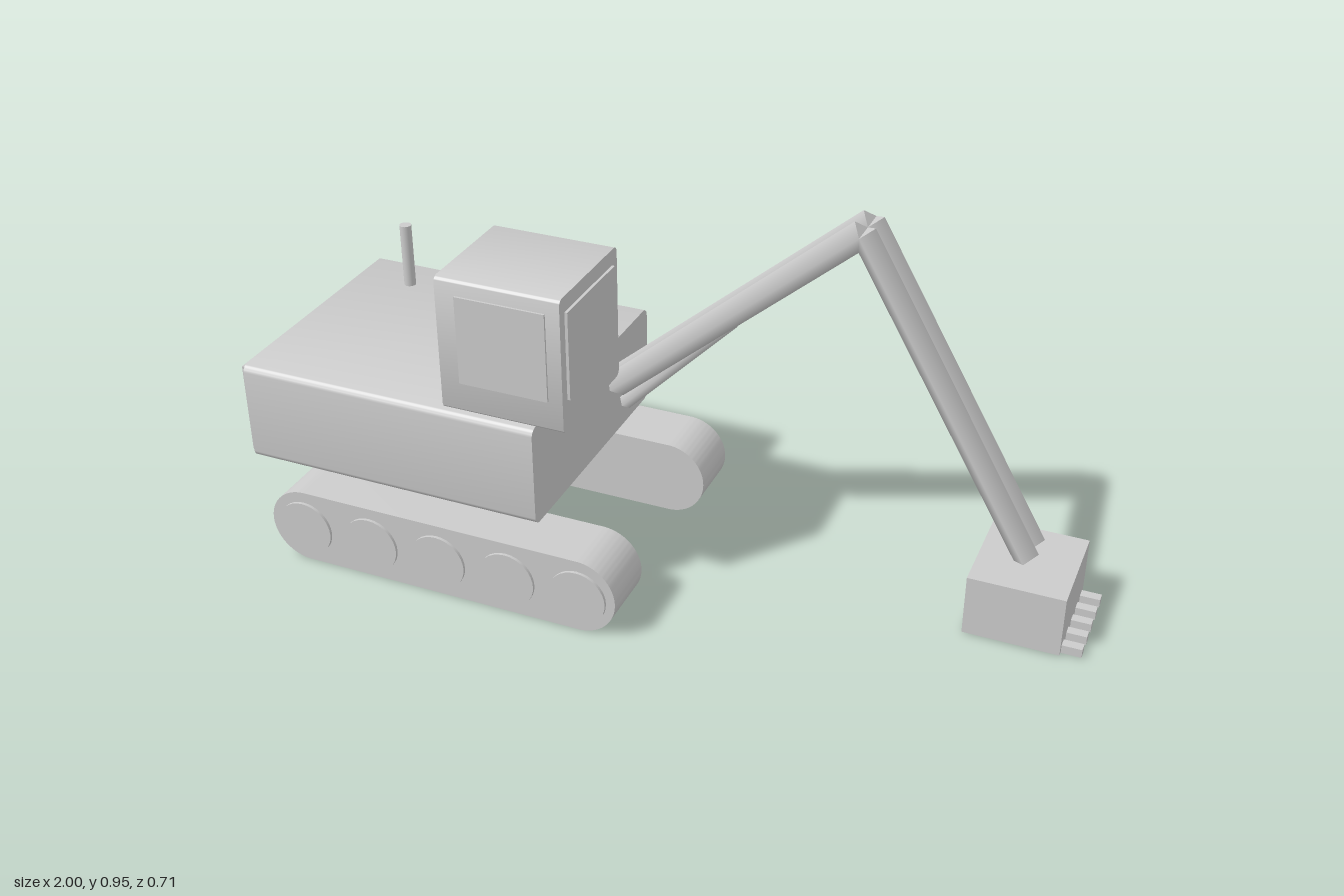
import * as THREE from 'three';
import { toCreasedNormals } from 'three/addons/utils/BufferGeometryUtils.js';

const grey = new THREE.MeshStandardMaterial({ color: 0xcccccc });

function add(parent, name, geometry) {
  const mesh = new THREE.Mesh(geometry, grey);
  mesh.name = name;
  parent.add(mesh);
  return mesh;
}

// Box given by its min and max corners
function block(parent, name, [x0, y0, z0], [x1, y1, z1]) {
  const mesh = add(parent, name, new THREE.BoxGeometry(x1 - x0, y1 - y0, z1 - z0));
  mesh.position.set((x0 + x1) / 2, (y0 + y1) / 2, (z0 + z1) / 2);
  return mesh;
}

// Rounded rectangle extruded along z, centred on the origin
function roundedPrism(w, h, r, depth, segments) {
  const x = w / 2 - r, y = h / 2 - r;
  const shape = new THREE.Shape();
  shape.absarc(x, y, r, 0, Math.PI / 2);
  shape.absarc(-x, y, r, Math.PI / 2, Math.PI);
  shape.absarc(-x, -y, r, Math.PI, Math.PI * 1.5);
  shape.absarc(x, -y, r, Math.PI * 1.5, Math.PI * 2);
  shape.closePath();
  const geometry = new THREE.ExtrudeGeometry(shape, { depth, bevelEnabled: false, curveSegments: segments });
  geometry.translate(0, 0, -depth / 2);
  return toCreasedNormals(geometry, 0.6);
}

// Box whose four long edges, running along x, are rounded
function roundedBlock(parent, name, [x0, y0, z0], [x1, y1, z1], r) {
  const geometry = roundedPrism(z1 - z0, y1 - y0, r, x1 - x0, 5).rotateY(Math.PI / 2);
  add(parent, name, geometry).position.set((x0 + x1) / 2, (y0 + y1) / 2, (z0 + z1) / 2);
}

// Four-sided bar between two points of the xy plane, one edge facing up
function bar(parent, name, [x0, y0], [x1, y1], z, r) {
  const length = Math.hypot(x1 - x0, y1 - y0);
  const mesh = add(parent, name, new THREE.CylinderGeometry(r, r, length, 4));
  mesh.position.set((x0 + x1) / 2, (y0 + y1) / 2, z);
  mesh.rotation.z = Math.atan2(y1 - y0, x1 - x0) - Math.PI / 2;
}

export function createModel() {
  const model = new THREE.Group();
  model.name = 'excavator';

  // Crawler tracks with road wheels on the outer faces
  for (const side of [1, -1]) {
    const track = new THREE.Group();
    track.name = side > 0 ? 'frontTrack' : 'rearTrack';
    model.add(track);
    const belt = add(track, 'trackBelt', roundedPrism(0.923, 0.194, 0.0969, 0.152, 12));
    belt.position.set(-0.4735, 0.097, side * 0.271);
    for (let i = 0; i < 5; i++) {
      const wheel = add(track, 'roadWheel', new THREE.CylinderGeometry(0.072, 0.072, 0.02, 32));
      wheel.rotation.x = Math.PI / 2;
      wheel.position.set(-0.8405 + i * 0.1835, 0.094, side * 0.3445);
    }
  }

  // Upper body on its swing base
  block(model, 'swingBase', [-0.65, 0.19, -0.18], [-0.29, 0.25, 0.18]);
  roundedBlock(model, 'body', [-0.985, 0.247, -0.322], [-0.22, 0.503, 0.322], 0.022);
  block(model, 'rearPanel', [-1, 0.26, -0.305], [-0.98, 0.49, 0.305]);
  const exhaust = add(model, 'exhaustPipe', new THREE.CylinderGeometry(0.015, 0.015, 0.18, 20));
  exhaust.position.set(-0.835, 0.58, -0.207);

  // Cab with raised windows
  roundedBlock(model, 'cab', [-0.45, 0.503, 0.013], [-0.145, 0.838, 0.31], 0.016);
  block(model, 'windscreen', [-0.15, 0.582, 0.04], [-0.138, 0.8, 0.286]);
  block(model, 'sideWindow', [-0.4, 0.582, 0.3], [-0.18, 0.8, 0.315]);

  // Twin boom and stick bars with the lifting cylinder below
  for (const z of [-0.083, -0.147]) {
    bar(model, 'boom', [-0.2, 0.41], [0.402, 0.926], z, 0.032);
    bar(model, 'stick', [0.402, 0.926], [0.835, 0.181], z, 0.032);
  }
  bar(model, 'boomCylinder', [-0.19, 0.345], [0.09, 0.63], -0.115, 0.018);

  // Bucket and its teeth
  block(model, 'bucket', [0.722, 0.002, -0.243], [0.952, 0.157, 0.013]);
  for (let i = 0; i < 5; i++) {
    const z = -0.013 - i * 0.051;
    block(model, 'bucketTooth', [0.945, 0, z - 0.012], [1, 0.022, z + 0.012]);
  }
  return model;
}
